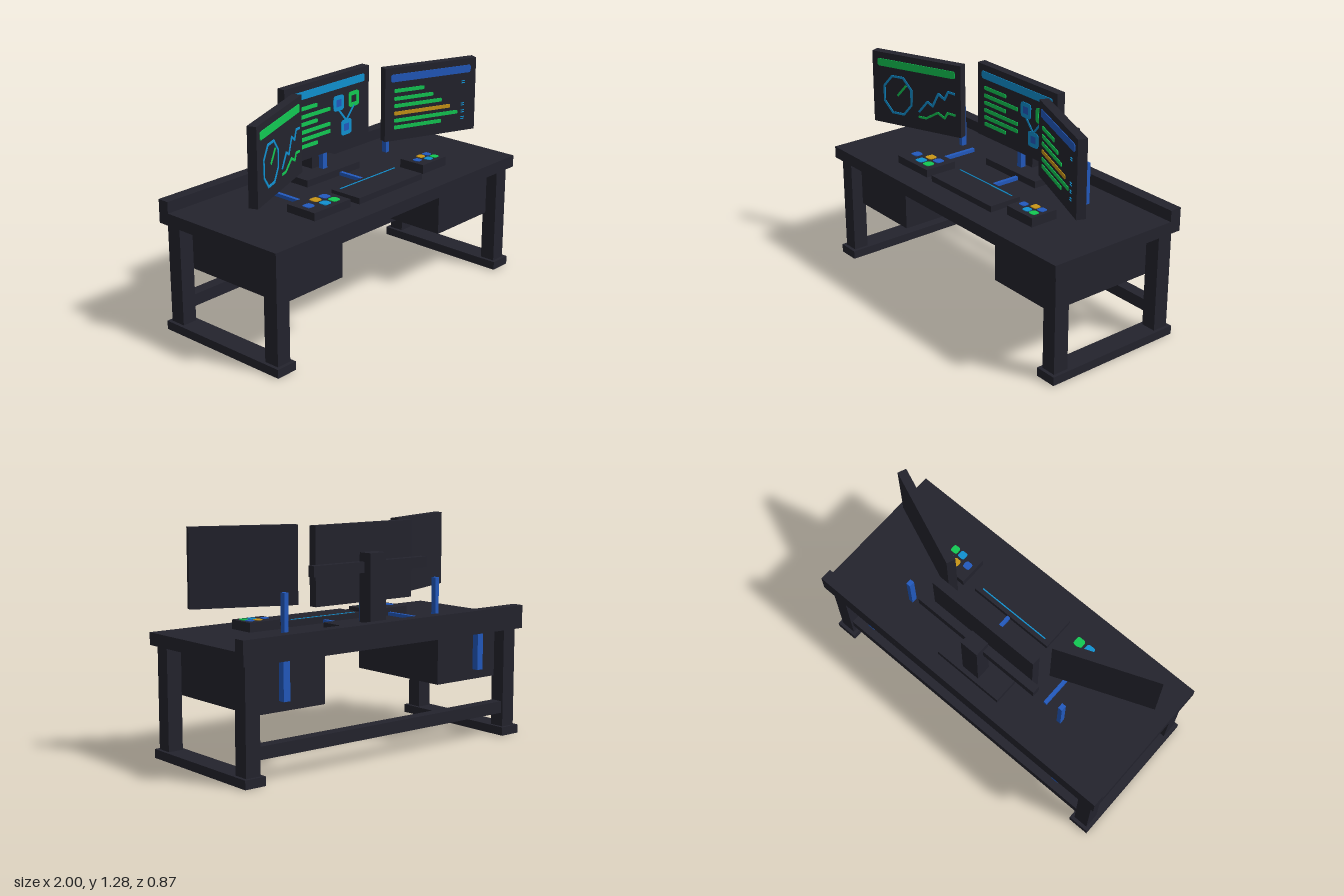
import * as THREE from 'three';

const material = (name, color) => {
  const m = new THREE.MeshStandardMaterial({ color });
  m.name = name;
  return m;
};

export function createModel() {
  const dark = material('charcoal', 0x23232d);
  const blue = material('blue', 0x2259bd);
  const cyan = material('cyan', 0x1090d0);
  const green = material('green', 0x12c853);
  const gold = material('gold', 0xc89516);

  const model = new THREE.Group();
  model.name = 'controlDesk';

  // Box given by its minimum and maximum on each axis
  function box(name, mat, x0, x1, y0, y1, z0, z1, parent = model) {
    const mesh = new THREE.Mesh(new THREE.BoxGeometry(x1 - x0, y1 - y0, z1 - z0), mat);
    mesh.name = name;
    mesh.position.set((x0 + x1) / 2, (y0 + y1) / 2, (z0 + z1) / 2);
    parent.add(mesh);
    return mesh;
  }

  // Thin rounded plate lying on the local xy plane, optionally with a square hole
  function plate(parent, name, mat, u, v, w, h, r = Math.min(w, h) * 0.3, hole = 0) {
    const s = new THREE.Shape();
    const a = w / 2, b = h / 2;
    s.moveTo(-a + r, -b);
    s.lineTo(a - r, -b).quadraticCurveTo(a, -b, a, -b + r);
    s.lineTo(a, b - r).quadraticCurveTo(a, b, a - r, b);
    s.lineTo(-a + r, b).quadraticCurveTo(-a, b, -a, b - r);
    s.lineTo(-a, -b + r).quadraticCurveTo(-a, -b, -a + r, -b);
    if (hole) {
      const k = hole / 2;
      s.holes.push(new THREE.Path([[-k, -k], [-k, k], [k, k], [k, -k]].map(p => new THREE.Vector2(...p))));
    }
    const geo = new THREE.ExtrudeGeometry(s, { depth: 0.004, bevelEnabled: false, curveSegments: 3 });
    const mesh = new THREE.Mesh(geo, mat);
    mesh.name = name;
    mesh.position.set(u, v, 0);
    parent.add(mesh);
    return mesh;
  }

  // Chain of thin strips through a list of points
  function polyline(parent, name, mat, points, width = 0.013) {
    for (let i = 1; i < points.length; i++) {
      const [x0, y0] = points[i - 1], [x1, y1] = points[i];
      const len = Math.hypot(x1 - x0, y1 - y0);
      const strip = plate(parent, name, mat, (x0 + x1) / 2, (y0 + y1) / 2, len + width * 0.6, width, 0.002);
      strip.rotation.z = Math.atan2(y1 - y0, x1 - x0);
    }
  }

  // Desk top and rear ledge
  box('tabletop', dark, -1, 1, 0.63, 0.7, -0.437, 0.437);
  box('rearLedge', dark, -1, 1, 0.7, 0.765, -0.437, -0.367);
  box('rearBrace', dark, -0.885, 0.885, 0.13, 0.2, -0.395, -0.325);

  // Legs, feet, cabinets and their cables on both sides
  for (const s of [-1, 1]) {
    const side = (name, mat, x0, x1, ...rest) =>
      box(name, mat, Math.min(s * x0, s * x1), Math.max(s * x0, s * x1), ...rest);
    side('foot', dark, 0.86, 0.99, 0, 0.05, -0.427, 0.427);
    side('frontLeg', dark, 0.88, 0.97, 0.05, 0.63, 0.315, 0.407);
    side('rearLeg', dark, 0.88, 0.97, 0.05, 0.63, -0.407, -0.315);
    side('cabinet', dark, 0.41, 0.865, 0.35, 0.615, -0.345, 0.345);
    side('cabinetCable', blue, 0.678, 0.72, 0.41, 0.63, -0.395, -0.355);
    side('monitorCable', blue, 0.532, 0.558, 0.7, 0.94, -0.192, -0.158);
  }

  // Monitor stand
  box('standBase', dark, -0.218, 0.218, 0.7, 0.74, -0.327, -0.093);
  box('standPost', dark, -0.056, 0.056, 0.7, 1.125, -0.3, -0.21);
  box('standCrossbar', dark, -0.405, 0.405, 1.015, 1.075, -0.25, -0.202);
  box('centreCable', blue, -0.017, 0.017, 0.7, 0.94, -0.194, -0.16);

  // Cables lying on the desk
  box('deskCable', blue, -0.433, -0.411, 0.7, 0.72, -0.16, 0.09);
  box('deskCable', blue, 0.049, 0.071, 0.7, 0.72, -0.1, 0.1);

  // Monitors: each returns a group whose xy plane is the screen face
  function monitor(name, x, z, width, angle) {
    const group = new THREE.Group();
    group.name = name;
    group.position.set(x, 1.063, z);
    group.rotation.y = angle;
    model.add(group);
    box('monitorCase', dark, -width / 2, width / 2, -0.218, 0.218, -0.026, 0.026, group);
    const face = new THREE.Group();
    face.name = 'screenDisplay';
    face.position.z = 0.026;
    group.add(face);
    return face;
  }
  const turn = THREE.MathUtils.degToRad(22);
  const leftScreen = monitor('dialMonitor', -0.63, 0.078, 0.597, turn);
  const midScreen = monitor('centreMonitor', 0, -0.162, 0.69, 0);
  const rightScreen = monitor('listMonitor', 0.63, 0.078, 0.597, -turn);
  plate(leftScreen, 'titleBar', green, 0, 0.157, 0.524, 0.045);
  plate(midScreen, 'titleBar', cyan, 0, 0.157, 0.61, 0.045);
  plate(rightScreen, 'titleBar', blue, 0, 0.157, 0.524, 0.045);

  // Dial and line charts
  const dial = [];
  for (let i = 0; i <= 8; i++) {
    const a = (i + 0.5) * Math.PI / 4;
    dial.push([-0.127 + 0.1 * Math.cos(a), -0.03 + 0.122 * Math.sin(a)]);
  }
  polyline(leftScreen, 'dialRing', cyan, dial);
  polyline(leftScreen, 'dialNeedle', green, [[-0.127, -0.03], [-0.072, 0.035]]);
  polyline(leftScreen, 'upperChart', cyan,
    [[0.018, -0.105], [0.075, -0.035], [0.11, -0.055], [0.15, 0.028], [0.19, 0], [0.215, 0.05], [0.258, 0.045]]);
  polyline(leftScreen, 'lowerChart', green,
    [[0.018, -0.138], [0.065, -0.138], [0.145, -0.09], [0.19, -0.115], [0.21, -0.08], [0.258, -0.085]]);

  // Rows of list bars
  const rowHeights = [0.081, 0.034, -0.009, -0.054, -0.097, -0.138];
  const midRows = [0.195, 0.3, 0.195, 0.3, 0.3, 0.195];
  const rightRows = [0.195, 0.255, 0.312, 0.37, 0.42, 0.312];
  rowHeights.forEach((v, i) => {
    plate(midScreen, 'listBar', green, -0.283 + midRows[i] / 2, v, midRows[i], 0.022);
    plate(rightScreen, 'listBar', i === 3 ? gold : green, -0.24 + rightRows[i] / 2, v, rightRows[i], 0.022);
    if (i !== 1 && i !== 2) for (const d of [-0.006, 0.006])
      plate(rightScreen, 'listTick', cyan, 0.214, v + d, 0.022, 0.005, 0.001);
  });

  // Node diagram
  polyline(midScreen, 'nodeLink', cyan, [[0.086, 0.01], [0.15, -0.065], [0.214, 0.01]], 0.012);
  for (const [u, v, mat, core] of [[0.086, 0.05, cyan, blue], [0.214, 0.05, green, null], [0.15, -0.105, cyan, blue]]) {
    plate(midScreen, 'node', mat, u, v, 0.086, 0.09, 0.02, 0.042);
    if (core) plate(midScreen, 'nodeCore', core, u, v, 0.042, 0.042, 0.002);
  }

  // Keyboard with light strip
  box('keyboard', dark, -0.22, 0.312, 0.7, 0.735, 0.093, 0.295);
  box('keyboardLight', cyan, -0.185, 0.277, 0.735, 0.738, 0.118, 0.125);

  // Button pads: centre, width, depth, top height, button size, button centres
  function pad(name, x, z, w, d, top, size, buttons) {
    box(name, dark, x - w / 2, x + w / 2, 0.7, top, z - d / 2, z + d / 2);
    const face = new THREE.Group();
    face.name = name + 'Buttons';
    face.position.set(0, top, 0);
    face.rotation.x = -Math.PI / 2;
    model.add(face);
    buttons.forEach(([bx, bz, mat]) => plate(face, 'button', mat, bx, -bz, size, size));
  }
  pad('largePad', -0.42, 0.185, 0.28, 0.2, 0.745, 0.054, [
    [-0.505, 0.19, blue], [-0.415, 0.155, gold], [-0.345, 0.155, blue], [-0.415, 0.225, cyan], [-0.345, 0.225, green]]);
  pad('smallPad', 0.488, 0.16, 0.206, 0.17, 0.753, 0.044, [
    [0.43, 0.165, blue], [0.494, 0.138, gold], [0.548, 0.138, blue], [0.494, 0.195, cyan], [0.548, 0.195, green]]);

  return model;
}
